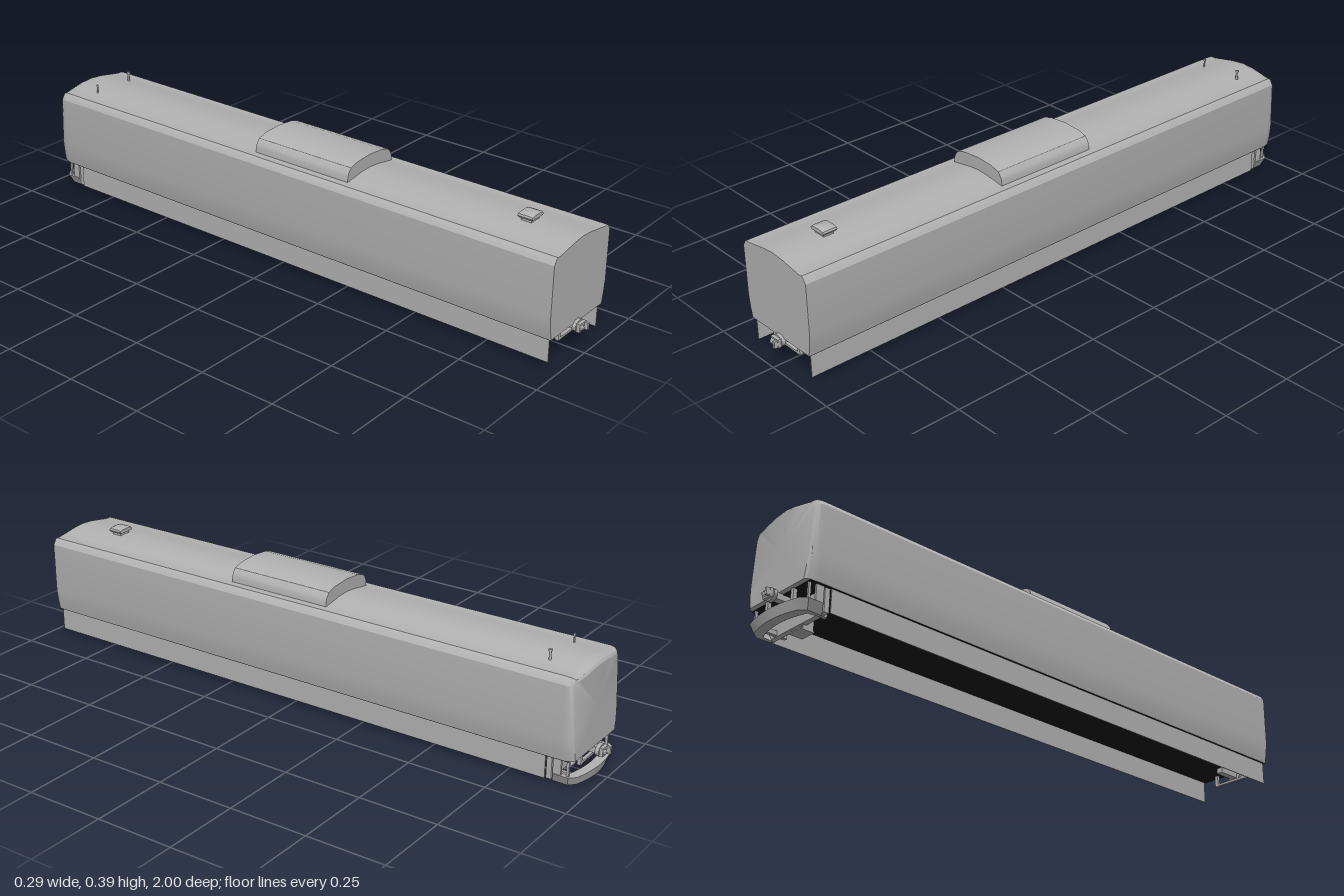
import * as THREE from 'three';
import { toCreasedNormals } from 'three/addons/utils/BufferGeometryUtils.js';

const grey = new THREE.MeshStandardMaterial({ color: 0xb2b2b2 });
grey.name = 'plain grey';
const greySheet = new THREE.MeshStandardMaterial({ color: 0xb2b2b2, side: THREE.DoubleSide });
greySheet.name = 'plain grey sheet';
const black = new THREE.MeshStandardMaterial({ color: 0x1a1a1a });
black.name = 'underfloor black';

function add(parent, name, geometry, x = 0, y = 0, z = 0, material = grey) {
  const mesh = new THREE.Mesh(geometry, material);
  mesh.name = name;
  mesh.position.set(x, y, z);
  parent.add(mesh);
  return mesh;
}
const box = (w, h, d) => new THREE.BoxGeometry(w, h, d);

// Mirror a half profile (from +x edge to the centre line) into a full one
const mirrored = half => [...half, ...half.slice(0, -1).reverse().map(([x, y]) => [-x, y])];

// Join closed rings running from front to back, with fans on both ends
function loft(rings) {
  const n = rings[0].length;
  const pos = [];
  const tri = (...pts) => pts.forEach(p => pos.push(...p));
  for (let i = 0; i < rings.length - 1; i++) {
    for (let j = 0; j < n; j++) {
      const k = (j + 1) % n;
      const [a, b, c, d] = [rings[i][j], rings[i][k], rings[i + 1][j], rings[i + 1][k]];
      tri(a, c, b);
      tri(b, c, d);
    }
  }
  const centre = ring => {
    const top = ring[(n - 1) / 2];
    return [0, (top[1] + ring[0][1]) / 2, (top[2] + ring[0][2]) / 2];
  };
  const first = rings[0], last = rings[rings.length - 1];
  for (let j = 0; j < n; j++) {
    const k = (j + 1) % n;
    tri(centre(first), first[j], first[k]);
    tri(centre(last), last[k], last[j]);
  }
  const g = new THREE.BufferGeometry();
  g.setAttribute('position', new THREE.Float32BufferAttribute(pos, 3));
  return toCreasedNormals(g, 0.5);
}

// Coupler facing +z, with its origin on the end of the car
function coupler(name) {
  const g = new THREE.Group();
  g.name = name;
  add(g, 'couplerArm', box(0.022, 0.02, 0.08), 0, 0, -0.04);
  const collar = new THREE.CylinderGeometry(0.024, 0.024, 0.012, 8);
  collar.rotateY(Math.PI / 8).rotateX(Math.PI / 2).scale(1, 0.8, 1);
  add(g, 'couplerCollar', collar, 0, 0, 0.004);
  add(g, 'couplerHead', box(0.034, 0.026, 0.012), 0, 0, 0.014);
  const cone = new THREE.ConeGeometry(0.011, 0.012, 4);
  cone.rotateY(Math.PI / 4).rotateX(Math.PI / 2);
  add(g, 'couplerCone', cone, -0.008, 0, 0.026);
  add(g, 'couplerHook', box(0.008, 0.022, 0.011), 0.012, 0, 0.0255);
  return g;
}

export function createModel() {
  const model = new THREE.Group();
  model.name = 'railCar';

  // Main shell: constant section, softened and leaning at the rear end
  const profile = mirrored([
    [0.135, 0.088], [0.141, 0.118], [0.146, 0.158], [0.146, 0.318], [0.136, 0.334],
    [0.13, 0.338], [0.119, 0.337], [0.085, 0.3425], [0.04, 0.35], [0, 0.353]
  ]);
  const shellRing = (z, inset, w) => profile.map(([x, y]) => [
    x * (1 - inset / 0.146),
    y - inset * Math.max(0, (y - 0.2) / 0.15),
    z + w * (Math.max(0, y - 0.12) * 0.05 - 0.012 * (1 - (x / 0.146) ** 2))
  ]);
  add(model, 'bodyShell', loft([
    shellRing(0.968, 0, 0), shellRing(-0.92, 0, 0), shellRing(-0.938, 0.002, 0.5),
    shellRing(-0.95, 0.007, 0.9), shellRing(-0.955, 0.014, 1)
  ]));
  add(model, 'underfloor', box(0.268, 0.002, 1.908), 0, 0.0872, 0.012, black);

  // Roof equipment housing
  const hood = mirrored([
    [0.107, 0.335], [0.106, 0.356], [0.102, 0.366], [0.091, 0.38], [0.062, 0.389], [0, 0.394]
  ]);
  add(model, 'roofHousing', loft([0.244, -0.11].map(z => hood.map(([x, y]) => [x, y, z]))));

  // Small roof vent with a bevelled cap
  add(model, 'ventNeck', box(0.04, 0.014, 0.034), 0, 0.355, 0.799);
  const cap = mirrored([[0.026, 0.36], [0.029, 0.366], [0.027, 0.372], [0.016, 0.3765], [0, 0.3775]]);
  add(model, 'ventCap', loft([[0.823, 0.7], [0.815, 1], [0.783, 1], [0.775, 0.7]].map(([z, s]) =>
    cap.map(([x, y]) => [x, 0.366 + (y - 0.366) * s, z]))));

  // Two aerials near the rear
  [[-0.074, 0.003, 0.372], [0.07, 0.0045, 0.376]].forEach(([x, r, top]) => {
    add(model, 'aerialStem', new THREE.CylinderGeometry(r * 0.7, r, top - 0.34, 8), x, (top + 0.34) / 2, -0.835);
    add(model, 'aerialTip', new THREE.CylinderGeometry(r * 1.3, r * 1.3, 0.006, 8), x, top - 0.003, -0.835);
  });

  // Side skirts, with rear brackets
  for (const s of [-1, 1]) {
    add(model, 'sideSkirt', box(0.003, 0.074, 1.83), s * 0.129, 0.051, 0.045, greySheet);
    add(model, 'skirtBracket', box(0.007, 0.056, 0.025), s * 0.124, 0.06, -0.905);
    add(model, 'skirtStrut', box(0.006, 0.056, 0.008), s * 0.12, 0.06, -0.936);
    add(model, 'rearHanger', box(0.012, 0.04, 0.012), s * 0.058, 0.068, -0.94);
    add(model, 'ploughArm', box(0.012, 0.014, 0.09), s * 0.09, 0.024, -0.9);
    add(model, 'trackGuard', box(0.004, 0.085, 0.035), s * 0.025, 0.0455, -0.865);
  }
  add(model, 'rearBulkhead', box(0.252, 0.074, 0.016), 0, 0.051, -0.88);
  add(model, 'guardFoot', box(0.054, 0.004, 0.045), 0, 0.002, -0.867);
  add(model, 'rearCrossbar', box(0.128, 0.007, 0.01), 0, 0.053, -0.94);

  // Curved plough below the rear end, tapering towards its lower edge
  const plan = new THREE.Shape();
  plan.moveTo(-0.13, 0.895);
  plan.lineTo(-0.13, 0.942);
  plan.lineTo(-0.112, 0.96);
  plan.quadraticCurveTo(0, 0.996, 0.112, 0.96);
  plan.lineTo(0.13, 0.942);
  plan.lineTo(0.13, 0.895);
  plan.lineTo(0.118, 0.895);
  plan.lineTo(0.112, 0.93);
  plan.quadraticCurveTo(0, 0.966, -0.112, 0.93);
  plan.lineTo(-0.118, 0.895);
  const plough = new THREE.ExtrudeGeometry(plan, { depth: 0.03, bevelEnabled: false, curveSegments: 10 });
  plough.rotateX(-Math.PI / 2);
  const p = plough.attributes.position;
  for (let i = 0; i < p.count; i++) {
    if (p.getY(i) < 0.01) p.setXYZ(i, p.getX(i) * 0.89, p.getY(i), p.getZ(i) + 0.008);
  }
  plough.computeVertexNormals();
  add(model, 'rearPlough', toCreasedNormals(plough, 0.5), 0, 0.006, 0);

  // Couplers at both ends
  const front = coupler('frontCoupler');
  front.position.set(0, 0.079, 0.968);
  const rear = coupler('rearCoupler');
  rear.position.set(0, 0.079, -0.968);
  rear.rotation.y = Math.PI;
  model.add(front, rear);

  // Hanging frame under the front end
  for (const s of [-1, 1]) {
    add(model, 'frontHanger', box(0.012, 0.04, 0.01), s * 0.057, 0.068, 0.945);
  }
  add(model, 'frontCrossbar', box(0.126, 0.007, 0.01), 0, 0.052, 0.945);

  return model;
}
